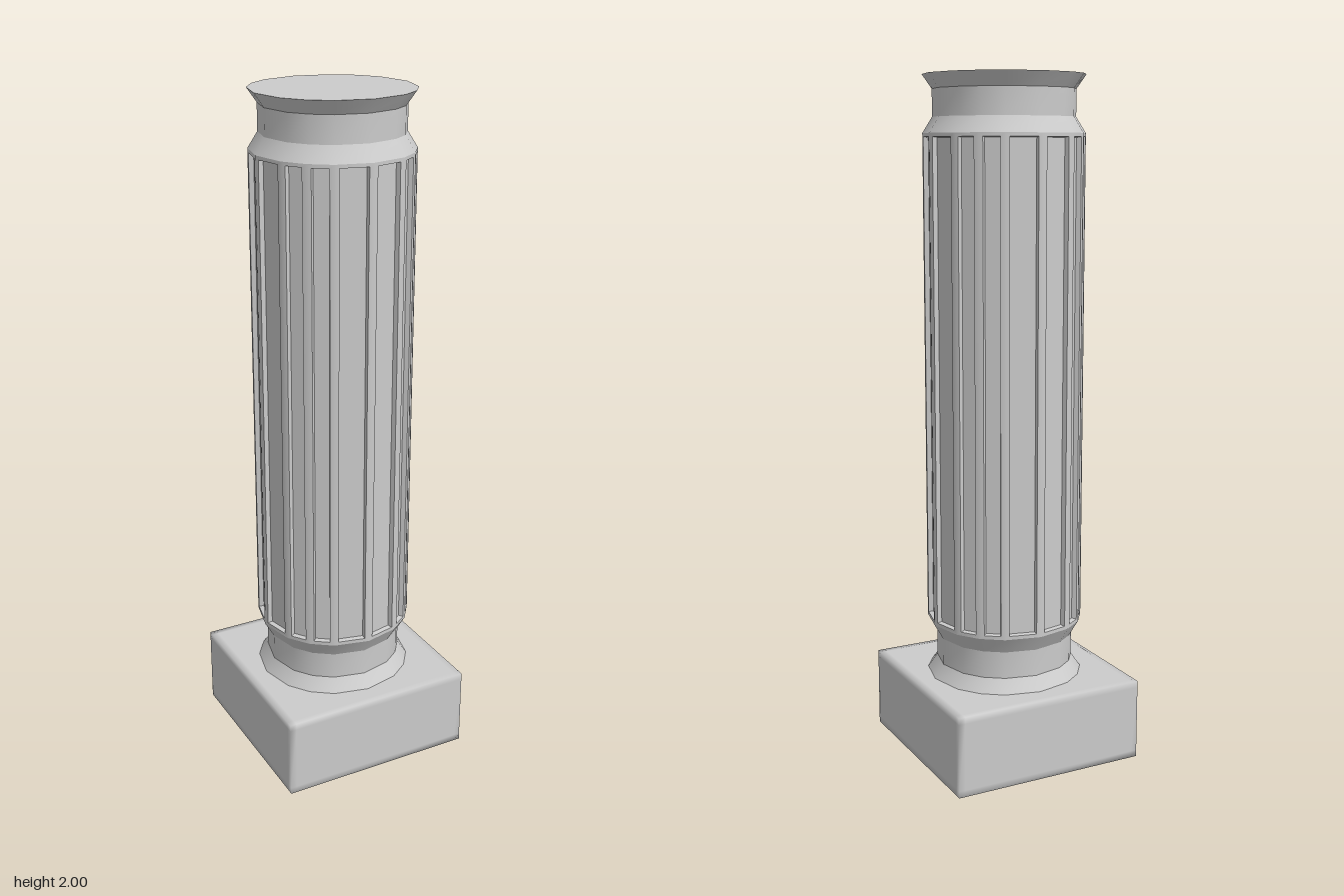
import * as THREE from 'three';
import { mergeVertices, toCreasedNormals } from 'three/addons/utils/BufferGeometryUtils.js';

const material = new THREE.MeshStandardMaterial({ color: 0xcccccc });
const R = 0.232;

// Sixteen unevenly spaced corners: wide and narrow sides alternate in pairs
const angles = [];
for (let q = 0; q < 4; q++) {
  for (const d of [0, 26.57, 45, 63.43]) angles.push(THREE.MathUtils.degToRad(q * 90 + d));
}
const corner = (i, r, y) => {
  const a = angles[i % angles.length];
  return new THREE.Vector3(Math.sin(a) * r, y, Math.cos(a) * r);
};

function makeMesh(name, tris, crease) {
  const geometry = new THREE.BufferGeometry().setFromPoints(tris);
  const mesh = new THREE.Mesh(toCreasedNormals(geometry, crease), material);
  mesh.name = name;
  return mesh;
}
const quad = (tris, a, b, c, d) => tris.push(a, b, c, a, c, d);

// Band of sides through a list of [radius, height] rings
function collar(name, rings, capped) {
  const tris = [];
  for (let i = 0; i < angles.length; i++) {
    for (let k = 0; k + 1 < rings.length; k++) {
      const [r0, y0] = rings[k], [r1, y1] = rings[k + 1];
      quad(tris, corner(i, r0, y0), corner(i + 1, r0, y0), corner(i + 1, r1, y1), corner(i, r1, y1));
    }
    if (capped) {
      const [r, y] = rings[rings.length - 1];
      tris.push(new THREE.Vector3(0, y, 0), corner(i, r, y), corner(i + 1, r, y));
    }
  }
  return makeMesh(name, tris, 0.5);
}

// Shaft whose every side carries a sunken panel
function flutedShaft(y0, y1, margin, depth) {
  const tris = [];
  for (let i = 0; i < angles.length; i++) {
    const outer = [corner(i, R, y0), corner(i + 1, R, y0), corner(i + 1, R, y1), corner(i, R, y1)];
    const along = outer[1].clone().sub(outer[0]).normalize();
    const inward = new THREE.Vector3(along.z, 0, -along.x).negate();
    if (inward.dot(outer[0]) > 0) inward.negate();
    const inset = (m, d) => outer.map((p, k) => p.clone()
      .addScaledVector(along, k === 0 || k === 3 ? m : -m)
      .addScaledVector(inward, d)
      .add(new THREE.Vector3(0, k < 2 ? m * 0.8 : -m * 0.8, 0)));
    const rim = inset(margin, 0), floor = inset(margin + 0.003, depth);
    for (let k = 0; k < 4; k++) {
      const n = (k + 1) % 4;
      quad(tris, outer[k], outer[n], rim[n], rim[k]);
      quad(tris, rim[k], rim[n], floor[n], floor[k]);
    }
    quad(tris, ...floor);
  }
  return makeMesh('flutedShaft', tris, 0.5);
}

// Square plinth with support loops near the edges for softened shading
function plinth() {
  const w = 0.59, h = 0.24, loop = 0.02;
  let geometry = new THREE.BoxGeometry(w, h, w, 3, 3, 3);
  const pos = geometry.attributes.position;
  const slide = (v, half) => (Math.abs(v) > half * 0.9 ? v : Math.sign(v) * (half - loop));
  for (let i = 0; i < pos.count; i++) {
    pos.setXYZ(i, slide(pos.getX(i), w / 2), slide(pos.getY(i), h / 2), slide(pos.getZ(i), w / 2));
  }
  geometry.deleteAttribute('normal');
  geometry.deleteAttribute('uv');
  geometry = mergeVertices(geometry);
  geometry.computeVertexNormals();
  const mesh = new THREE.Mesh(geometry, material);
  mesh.name = 'plinth';
  mesh.position.y = h / 2;
  return mesh;
}

export function createModel() {
  const column = new THREE.Group();
  column.name = 'column';
  column.add(
    plinth(),
    collar('lowerCollar', [[R, 0.24], [0.204, 0.28], [0.204, 0.36], [R, 0.408]], false),
    flutedShaft(0.408, 1.838, 0.013, 0.014),
    collar('upperCollar', [[R, 1.838], [0.204, 1.883], [0.204, 1.96], [R, 2]], true),
  );
  return column;
}
